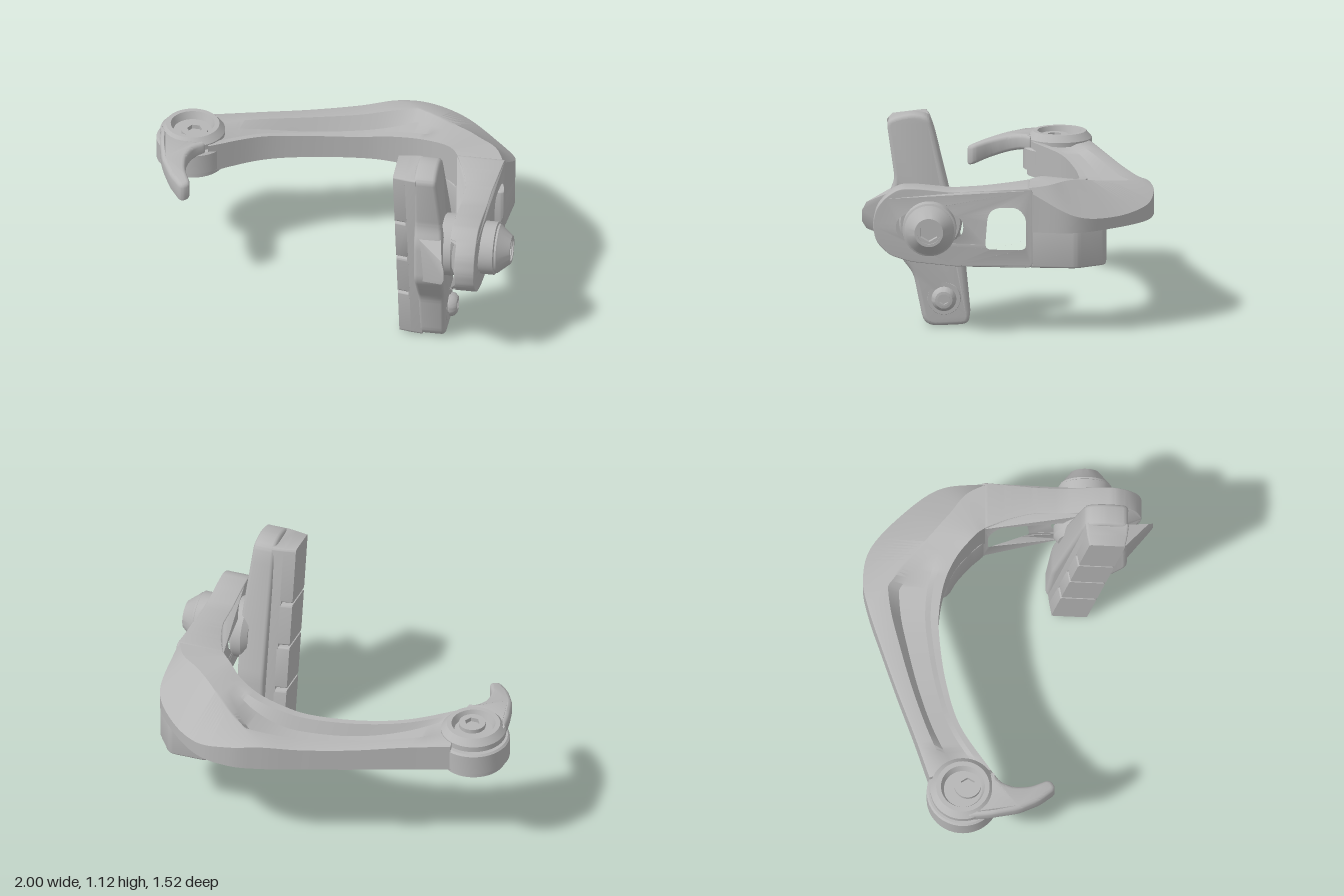
import * as THREE from 'three';
import { toCreasedNormals } from 'three/addons/utils/BufferGeometryUtils.js';
import { ConvexGeometry } from 'three/addons/geometries/ConvexGeometry.js';

const metal = new THREE.MeshStandardMaterial({ color: 0xb6b6b6 });
metal.name = 'metal grey';

function add(parent, name, geometry, x = 0, y = 0, z = 0) {
  const mesh = new THREE.Mesh(toCreasedNormals(geometry, 0.6), metal);
  mesh.name = name;
  mesh.position.set(x, y, z);
  parent.add(mesh);
  return mesh;
}

// Closed path whose corners are cut by a curve of about radius r
function rounded(points, r, path = new THREE.Shape()) {
  const v = points.map(p => new THREE.Vector2(...p));
  v.forEach((p, i) => {
    const cut = q => p.clone().lerp(q, Math.min(0.45, r / p.distanceTo(q)));
    const a = cut(v[(i + v.length - 1) % v.length]);
    const b = cut(v[(i + 1) % v.length]);
    if (i) path.lineTo(a.x, a.y); else path.moveTo(a.x, a.y);
    path.quadraticCurveTo(p.x, p.y, b.x, b.y);
  });
  path.closePath();
  return path;
}

// Extrusion with a rounded edge that stays inside its outline
function extrude(shape, depth, bevel) {
  return new THREE.ExtrudeGeometry(shape, {
    depth: depth - 2 * bevel, curveSegments: 8, bevelEnabled: bevel > 0,
    bevelSize: bevel, bevelThickness: bevel, bevelOffset: -bevel, bevelSegments: 3
  }).translate(0, 0, bevel);
}

// Plate drawn with [z, y] points and extruded from x0 to x1
function sidePlate(points, x0, x1, r, bevel = 0, holes = []) {
  const flip = list => list.map(([z, y]) => [-z, y]);
  const shape = rounded(flip(points), r);
  shape.holes = holes.map(h => rounded(flip(h), 0.04, new THREE.Path()));
  return extrude(shape, x1 - x0, bevel).rotateY(Math.PI / 2).translate(x0, 0, 0);
}

// Plate drawn with [x, z] points and extruded from y0 to y1
function flatPlate(points, y0, y1, r, bevel, hole) {
  const shape = rounded(points.map(([x, z]) => [x, -z]), r);
  if (hole) shape.holes.push(new THREE.Path().absarc(hole[0], -hole[1], hole[2], 0, Math.PI * 2));
  return extrude(shape, y1 - y0, bevel).rotateX(-Math.PI / 2).translate(0, y0, 0);
}

function lathe(profile) {
  return new THREE.LatheGeometry(profile.map(p => new THREE.Vector2(...p)), 48);
}

// Ring with a hexagonal socket, standing along +y
function hexRing(outer, socket, depth) {
  const shape = new THREE.Shape().absarc(0, 0, outer, 0, Math.PI * 2);
  const hex = [];
  for (let i = 0; i < 6; i++) {
    hex.push(new THREE.Vector2(Math.cos(i * Math.PI / 3) * socket, Math.sin(i * Math.PI / 3) * socket));
  }
  shape.holes.push(new THREE.Path(hex));
  return new THREE.ExtrudeGeometry(shape, { depth, bevelEnabled: false, curveSegments: 24 }).rotateX(-Math.PI / 2);
}

// Curved arm: stations hold inner x,z, outer x,z, top y, outer edge y, crease fraction, pocket depth
function armGeometry() {
  const stations = [
    [-0.70, -0.09, -0.74, -0.41, 0.71, 0.70, 0.95, 0],
    [-0.45, -0.25, -0.50, -0.49, 0.695, 0.69, 0.95, 0.04],
    [-0.20, -0.325, -0.25, -0.58, 0.68, 0.675, 0.95, 0.065],
    [0.05, -0.36, 0.00, -0.665, 0.68, 0.675, 0.95, 0.07],
    [0.20, -0.36, 0.20, -0.73, 0.70, 0.69, 0.93, 0.07],
    [0.35, -0.33, 0.37, -0.76, 0.725, 0.67, 0.65, 0.04],
    [0.47, -0.27, 0.56, -0.72, 0.755, 0.63, 0.46, 0],
    [0.55, -0.20, 0.75, -0.56, 0.785, 0.61, 0.44, 0],
    [0.59, -0.16, 0.885, -0.36, 0.79, 0.64, 0.54, 0],
    [0.62, -0.12, 0.87, -0.12, 0.784, 0.765, 0.95, 0]
  ];
  const curve = new THREE.CubicInterpolant(stations.map((s, i) => i), stations.flat(), 8, new Float32Array(8));
  const steps = 90, position = [], index = [], base = 0.55;
  let n = 0;
  for (let k = 0; k <= steps; k++) {
    const [ix, iz, ox, oz, top, edge, crease, pocket] = curve.evaluate(k / steps * (stations.length - 1));
    const d = Math.max(0, pocket), rim = Math.min(0.69, crease - 0.03);
    const ring = [
      [0, base], [0.12, base], [0.17, base + d * 0.6], [0.7, base + d * 0.6], [0.76, base], [1, base],
      [1, edge], [crease, top], [rim, top], [rim - 0.14, top - d], [0.2, top - d], [0.12, top], [0, top]
    ];
    n = ring.length;
    ring.forEach(([f, y]) => position.push(ix + (ox - ix) * f, y, iz + (oz - iz) * f));
  }
  for (let k = 0; k < steps; k++) {
    for (let i = 0; i < n; i++) {
      const a = k * n + i, b = k * n + (i + 1) % n;
      index.push(a, b, a + n, b, b + n, a + n);
    }
  }
  for (let i = 1; i < n - 1; i++) index.push(0, i + 1, i);
  const geometry = new THREE.BufferGeometry();
  geometry.setAttribute('position', new THREE.Float32BufferAttribute(position, 3));
  geometry.setIndex(index);
  return geometry;
}

// Move each vertex of a geometry by a rule
function deform(geometry, rule) {
  const p = geometry.attributes.position, v = new THREE.Vector3();
  for (let i = 0; i < p.count; i++) {
    rule(v.fromBufferAttribute(p, i));
    p.setXYZ(i, v.x, v.y, v.z);
  }
  return geometry;
}

export function createModel() {
  const model = new THREE.Group();

  // Arm with its lower block, which reaches along the inner edge to the spring pin
  add(model, 'curvedArm', armGeometry());
  add(model, 'lowerBlock', flatPlate([[0.57, -0.52], [0.78, -0.52], [0.885, -0.37], [0.87, -0.12], [0.62, -0.12],
    [0.55, -0.2], [0.47, -0.27], [0.39, -0.315], [0.37, -0.37], [0.45, -0.42], [0.55, -0.38]],
    0.36, 0.58, 0.03, 0.01, [0.69, -0.34, 0.06]));
  add(model, 'springPin', lathe([[0, 0], [0.05, 0], [0.065, 0.02], [0.065, 0.24]]), 0.43, 0.355, -0.385);

  // Side plate with window and adjusting slot, widening towards the bend
  const plate = sidePlate([[-0.14, 0.36], [0, 0.36], [0.12, 0.36], [0.25, 0.36], [0.5, 0.385], [0.61, 0.42],
    [0.68, 0.49], [0.7, 0.58], [0.68, 0.67], [0.63, 0.73], [0.56, 0.775], [0.46, 0.775], [0.28, 0.757],
    [0.12, 0.767], [0, 0.775], [-0.14, 0.784]], 0.71, 0.85, 0.035, 0.004, [
    [[0.115, 0.45], [0.1, 0.64], [0.06, 0.68], [-0.06, 0.685], [-0.11, 0.63], [-0.11, 0.45]],
    [[0.22, 0.53], [0.3, 0.48], [0.5, 0.48], [0.58, 0.53], [0.58, 0.61], [0.5, 0.66], [0.3, 0.66], [0.22, 0.61]]
  ]);
  add(model, 'sidePlate', deform(plate, v => {
    const bend = Math.max(0, Math.min(1, (0.18 - v.z) / 0.32));
    if (v.x < 0.75) v.x += (v.z > 0.62 ? 0.035 : 0) - 0.1 * bend ** 1.6;
    else v.x += 0.022 * bend;
  }));

  // Pivot with cap, bolt and hooked lever
  const pivot = new THREE.Group();
  pivot.name = 'pivot';
  pivot.position.set(-0.807, 0, -0.235);
  model.add(pivot);
  add(pivot, 'pivotBody', lathe([[0.075, 0.58], [0.075, 0.52], [0.17, 0.52], [0.17, 0.55], [0.19, 0.555],
    [0.19, 0.665], [0.18, 0.675], [0, 0.675]]));
  add(pivot, 'pivotCap', lathe([[0.15, 0.67], [0.17, 0.685], [0.17, 0.715], [0.14, 0.75], [0.115, 0.75],
    [0.1, 0.71], [0, 0.71]]));
  add(pivot, 'pivotBolt', hexRing(0.07, 0.04, 0.025), 0.015, 0.708, 0.025);
  add(pivot, 'boltEnd', new THREE.CylinderGeometry(0.06, 0.06, 0.05, 32), 0, 0.57, 0);
  add(model, 'stopTab', new THREE.BoxGeometry(0.1, 0.07, 0.08), -0.65, 0.535, -0.29);
  const hook = flatPlate([[-0.97, -0.23], [-0.955, -0.08], [-0.92, 0.06], [-0.86, 0.17], [-0.785, 0.255],
    [-0.735, 0.22], [-0.785, 0.12], [-0.795, 0.03], [-0.77, -0.04], [-0.7, -0.09], [-0.8, -0.095], [-0.92, -0.17]],
    0.655, 0.735, 0.035, 0.02);
  add(model, 'hookLever', deform(hook, v => {
    v.y -= (v.y > 0.695 ? 0.06 : 0.085) * (Math.max(0, v.z + 0.07) / 0.3) ** 1.3;
  }));

  // Pad holder, thickest at the middle, with a front fin
  const holder = sidePlate([[0.395, 0], [0.44, 0.03], [0.49, 0.28], [0.55, 0.36], [0.62, 0.46], [0.62, 0.69],
    [0.587, 0.78], [0.632, 1.09], [0.57, 1.115], [0.49, 1.13], [0.41, 1.115], [0.385, 1.05], [0.31, 0.74],
    [0.225, 0.38], [0.193, 0.05], [0.21, 0.01]], 0.515, 0.65, 0.04, 0.02);
  add(model, 'padHolder', deform(holder, v => {
    if (v.x > 0.6) v.x += 0.025 * Math.max(0, 1 - Math.abs(v.y - 0.57) / 0.4) - 0.015 * Math.max(0, v.y - 0.9) / 0.2;
  }));
  add(model, 'padFin', new ConvexGeometry([[0.53, 0.72, 0.6], [0.53, 0.44, 0.58], [0.64, 0.4, 0.45],
    [0.64, 0.76, 0.5], [0.685, 0.53, 0.735], [0.685, 0.67, 0.735], [0.7, 0.57, 0.757], [0.7, 0.63, 0.757]]
    .map(p => new THREE.Vector3(...p))));

  // Brake pad: a backing and four blocks divided by narrow slots, tapering inwards
  const padPiece = (y0, y1, x0, x1) => {
    const z = (y, side) => (side ? 0.428 : 0.2) + 0.187 * y;
    const piece = sidePlate([[z(y0, 1), y0 - 0.012], [z(y1, 1), y1 - 0.012], [z(y1, 0), y1 + 0.012],
      [z(y0, 0), y0 + 0.012]], x0, x1, 0.015);
    return deform(piece, v => {
      const middle = 0.314 + 0.187 * v.y;
      v.z = middle + (v.z - middle) * (1 - 1.7 * Math.max(0, 0.51 - v.x));
    });
  };
  add(model, 'padBacking', padPiece(0.02, 1.1, 0.465, 0.53));
  [0.02, 0.302, 0.547, 0.792].forEach((y, i) => {
    add(model, 'padBlock', padPiece(y, [0.29, 0.535, 0.78, 1.1][i], 0.405, 0.47));
  });

  // Fasteners lying along x
  const fastener = (name, z, y) => {
    const group = new THREE.Group();
    group.name = name;
    group.position.set(0, y, z);
    group.rotation.z = -Math.PI / 2;
    model.add(group);
    return group;
  };
  const axle = fastener('padAxle', 0.4, 0.57);
  add(axle, 'axleNut', lathe([[0, 0.84], [0.14, 0.84], [0.14, 0.92], [0.13, 0.925], [0.13, 0.935], [0.12, 0.945],
    [0.075, 1], [0.06, 1], [0.06, 0.95], [0, 0.95]]));
  add(axle, 'axleSocket', hexRing(0.062, 0.05, 0.042), 0, 0.95, 0);
  add(axle, 'axleShaft', new THREE.CylinderGeometry(0.075, 0.075, 0.3, 32), 0, 0.74, 0);
  add(axle, 'innerWasher', lathe([[0, 0.62], [0.14, 0.62], [0.165, 0.65], [0.165, 0.7], [0.155, 0.712], [0, 0.712]]));
  const screw = fastener('padScrew', 0.33, 0.15);
  add(screw, 'screwHead', lathe([[0, 0.63], [0.05, 0.63], [0.05, 0.66], [0.065, 0.665], [0.06, 0.685], [0.045, 0.7],
    [0.03, 0.702], [0.03, 0.68], [0, 0.68]]));
  add(screw, 'screwSocket', hexRing(0.032, 0.025, 0.02), 0, 0.682, 0);
  add(screw, 'screwSeat', lathe([[0.09, 0.645], [0.085, 0.654], [0, 0.654]]));

  return model;
}
